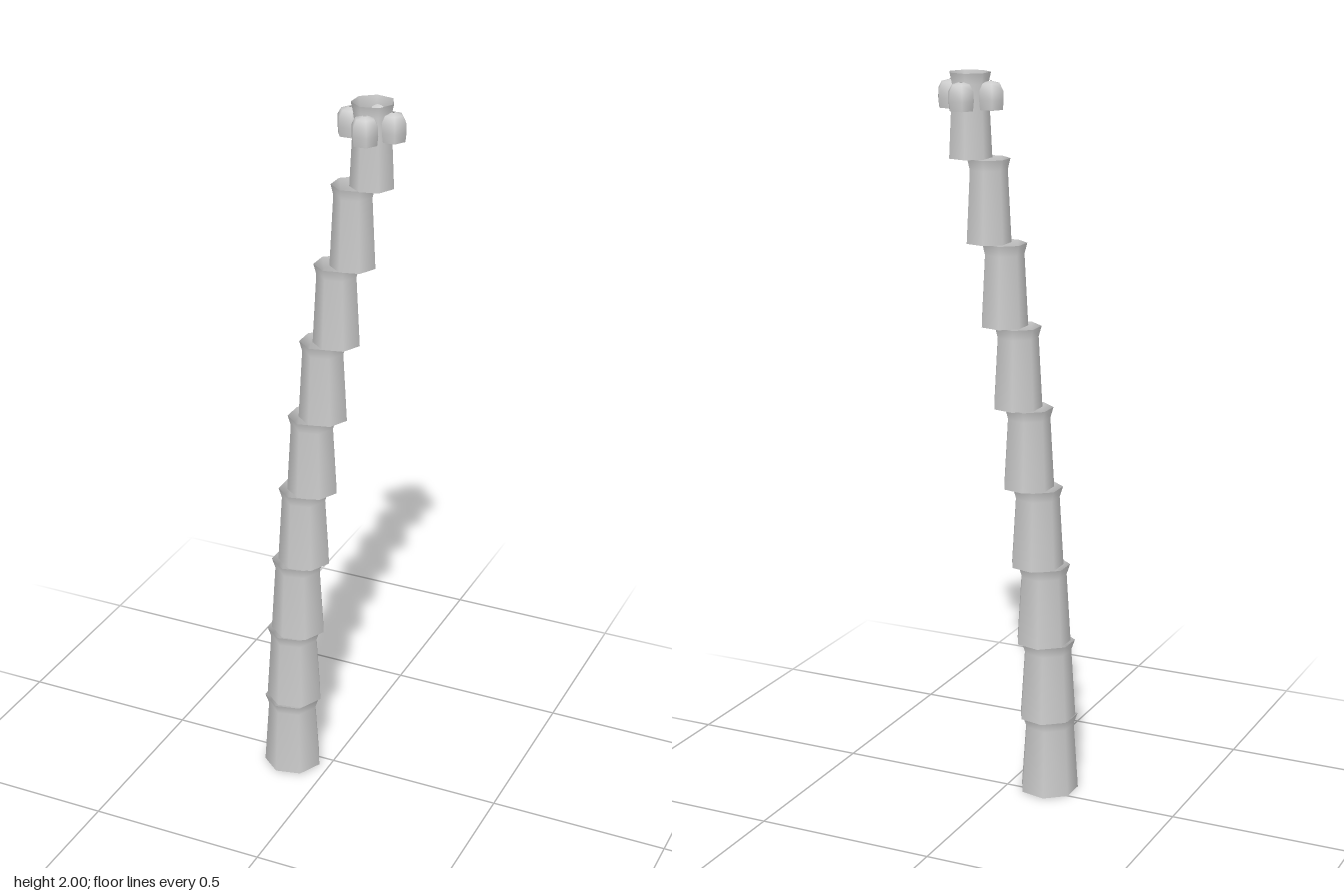
import * as THREE from 'three';

const SEGMENTS = 9;
const STEP = 2 / SEGMENTS;

// Open lathe with a corner pointing along +x
function lathe(profile, sides, material, name) {
  const points = profile.map(([r, y]) => new THREE.Vector2(r, y));
  const mesh = new THREE.Mesh(new THREE.LatheGeometry(points, sides, Math.PI / 2), material);
  mesh.name = name;
  return mesh;
}

export function createModel() {
  const model = new THREE.Group();
  model.name = 'palmTrunk';
  const paleGrey = new THREE.MeshStandardMaterial({ color: 0xcccccc, side: THREE.DoubleSide });
  paleGrey.name = 'paleGrey';

  // Curved trunk: stacked seven-sided sleeves, each narrowing to a waist below a flared lip
  for (let k = 0; k < SEGMENTS; k++) {
    const r = 0.0826 - 0.0029 * k;
    const segment = lathe(
      [[r, 0], [r * 0.84, STEP * 0.87], [r - 0.003, STEP]],
      7, paleGrey, `trunkSegment${k + 1}`);
    segment.position.set(-0.112 + 0.00325 * k * k, k * STEP, 0.035 - 0.008 * k);
    model.add(segment);
  }

  // Four six-sided nuts around the crown, open underneath, with a tiny hole on top
  const nutProfile = [[0.034, 0], [0.0366, 0.025], [0.0355, 0.05], [0.026, 0.067], [0.005, 0.073]];
  const nutPlaces = [[0.034, -0.029], [0.091, -0.088], [0.15, -0.03], [0.098, 0.027]];
  nutPlaces.forEach(([x, z], i) => {
    const nut = lathe(nutProfile, 6, paleGrey, `nut${i + 1}`);
    nut.position.set(x, 1.906, z);
    model.add(nut);
  });

  return model;
}
